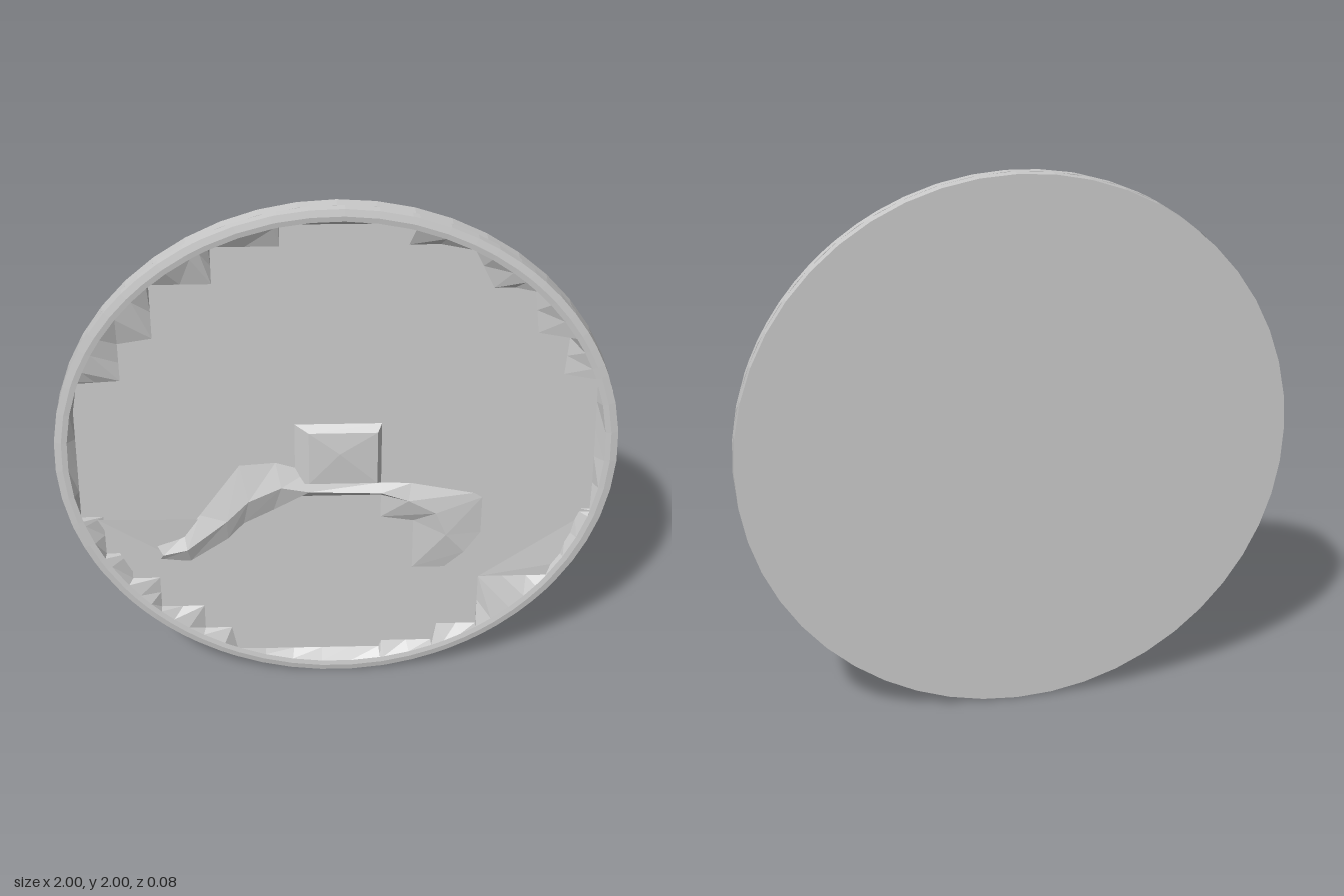
import * as THREE from 'three';

const BACK = -0.04, FLOOR = 0.0, FRONT = 0.033;
const material = new THREE.MeshStandardMaterial({ color: 0xcccccc, flatShading: true, side: THREE.DoubleSide });

function addMesh(group, name, geometry) {
  const mesh = new THREE.Mesh(geometry, material);
  mesh.name = name;
  group.add(mesh);
}

// Skins rows of [x, y, z] points; rows run from outside to inside, counter-clockwise
function loft(rows, closed) {
  const n = rows[0].length, index = [];
  for (let i = 0; i < rows.length - 1; i++) {
    for (let j = 0; j < (closed ? n : n - 1); j++) {
      const k = (j + 1) % n, a = i * n + j, b = i * n + k;
      index.push(a, b, b + n, a, b + n, a + n);
    }
  }
  const geometry = new THREE.BufferGeometry();
  geometry.setAttribute('position', new THREE.Float32BufferAttribute(rows.flat(2), 3));
  geometry.setIndex(index);
  const flat = geometry.toNonIndexed();
  flat.computeVertexNormals();
  return flat;
}

export function createModel() {
  const model = new THREE.Group();
  model.name = 'reliefDisc';

  // Flat backing disc
  const body = new THREE.CylinderGeometry(1, 1, FLOOR - BACK, 48);
  body.rotateX(Math.PI / 2);
  body.translate(0, 1, (FLOOR + BACK) / 2);
  addMesh(model, 'backingDisc', body);

  // Stepped inner outline of the rim, counter-clockwise from the right
  const outline = [
    [0.93, 0.74], [0.91, 1.33], [0.79, 1.33], [0.8, 1.48], [0.69, 1.5], [0.67, 1.68], [0.53, 1.68],
    [0.45, 1.85], [0.24, 1.85], [0.24, 1.93], [-0.19, 1.93], [-0.19, 1.85], [-0.42, 1.85], [-0.42, 1.71],
    [-0.63, 1.71], [-0.63, 1.5], [-0.75, 1.48], [-0.75, 1.33], [-0.92, 1.32], [-0.93, 0.74], [-0.85, 0.74],
    [-0.85, 0.57], [-0.76, 0.57], [-0.76, 0.45], [-0.66, 0.45], [-0.66, 0.31], [-0.5, 0.31], [-0.5, 0.2],
    [-0.4, 0.2], [-0.38, 0.09], [0.16, 0.09], [0.17, 0.12], [0.36, 0.12], [0.38, 0.2], [0.53, 0.2],
    [0.53, 0.43], [0.8, 0.43], [0.82, 0.55], [0.87, 0.74]
  ];
  const inner = [];
  outline.forEach((p, i) => {
    const q = outline[(i + 1) % outline.length];
    const parts = Math.ceil(Math.hypot(q[0] - p[0], q[1] - p[1]) / 0.13);
    for (let k = 0; k < parts; k++) {
      const t = k / parts;
      inner.push([p[0] + (q[0] - p[0]) * t, p[1] + (q[1] - p[1]) * t, FLOOR]);
    }
  });
  const ring = (radius, z) => inner.map(([x, y]) => {
    const a = Math.atan2(y - 1, x);
    return [radius * Math.cos(a), 1 + radius * Math.sin(a), z];
  });
  addMesh(model, 'rim', loft([ring(1, FLOOR), ring(1, 0.028), ring(0.975, FRONT), ring(0.955, 0.03), inner], true));

  // Arched band: lower edge, raised ridge and upper edge at each station
  const stations = [
    [[-0.66, 0.53], [-0.64, 0.57, 0.02], [-0.67, 0.62]],
    [[-0.54, 0.53], [-0.55, 0.6, 0.03], [-0.56, 0.65]],
    [[-0.4, 0.63], [-0.4, 0.73, 0.03], [-0.5, 0.74]],
    [[-0.34, 0.7], [-0.32, 0.82, 0.033], [-0.35, 0.96]],
    [[-0.23, 0.76], [-0.2, 0.88, 0.033], [-0.22, 0.97]],
    [[-0.22, 0.82], [-0.1, 0.86, 0.033], [-0.1, 0.93]],
    [[0.16, 0.82], [0.16, 0.85, 0.033], [0.16, 0.875]],
    [[0.16, 0.72], [0.26, 0.81, 0.03], [0.27, 0.87]],
    [[0.28, 0.7], [0.36, 0.75, 0.028], [0.5, 0.82]],
    [[0.28, 0.48], [0.4, 0.65, 0.028], [0.53, 0.8]],
    [[0.4, 0.48], [0.47, 0.56, 0.015], [0.53, 0.64]]
  ];
  const rows = [0, 1, 2].map(k => stations.map(s => [s[k][0], s[k][1], s[k][2] ?? FLOOR]));
  addMesh(model, 'archedBand', loft(rows, false));

  // Shallow webs joining the band ends to the rim
  addMesh(model, 'leftWeb', loft([
    [[-0.87, 0.74, 0.018], [-0.76, 0.5, 0.018]],
    [[-0.45, 0.72, 0.001], [-0.58, 0.53, 0.001]]
  ], false));
  addMesh(model, 'rightWeb', loft([
    [[0.53, 0.43, 0.001], [0.82, 0.5, 0.018]],
    [[0.53, 0.82, 0.001], [0.93, 0.74, 0.012]]
  ], false));

  // Square centre boss with a low off-centre peak
  const square = (x0, x1, y0, y1, z) => [[x0, y0, z], [x1, y0, z], [x1, y1, z], [x0, y1, z]];
  addMesh(model, 'centreBoss', loft([
    square(-0.15, 0.16, 0.875, 1.135, FLOOR),
    square(-0.1, 0.145, 0.895, 1.115, 0.03),
    square(0.01, 0.01, 1.03, 1.03, 0.04)
  ], true));

  return model;
}
